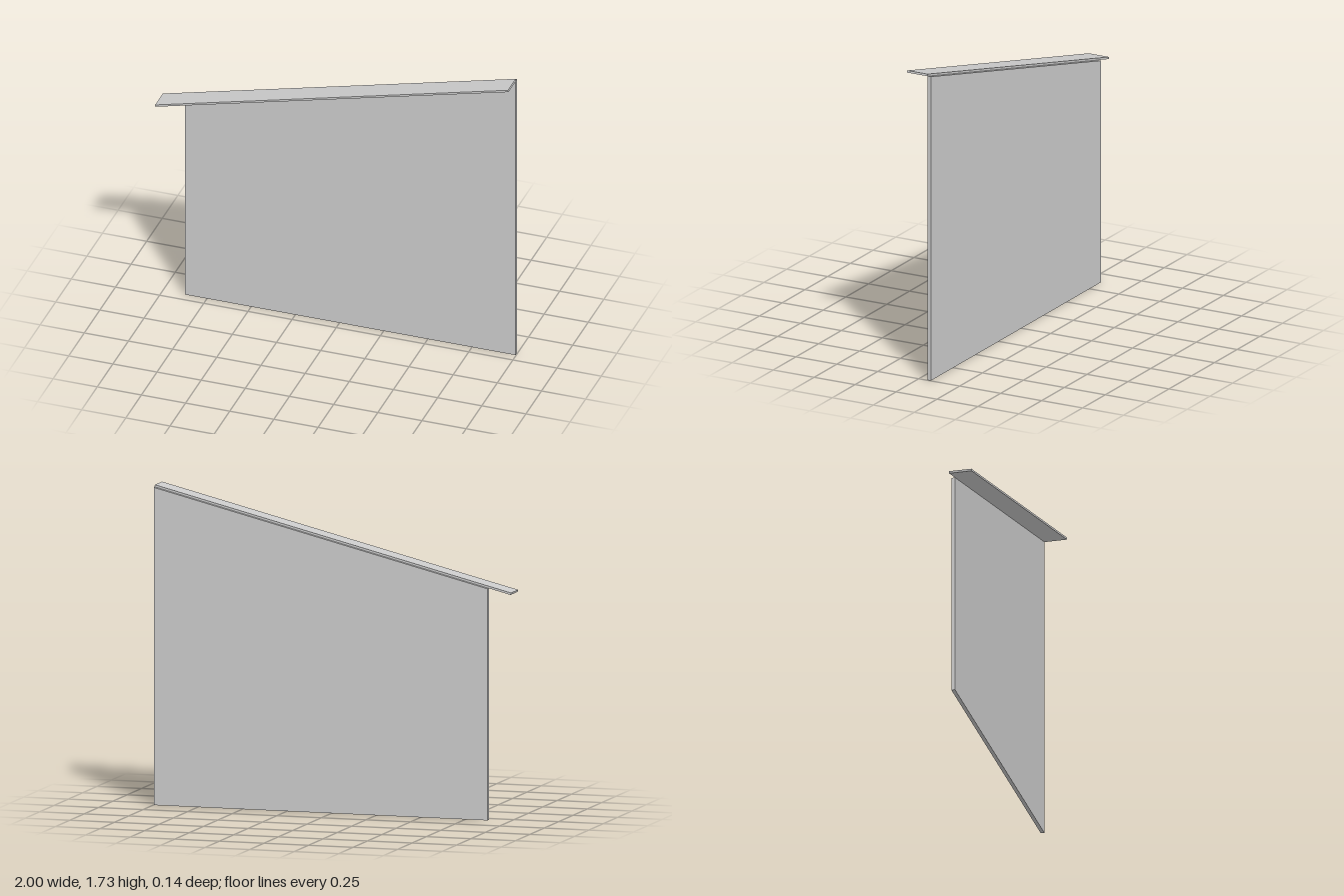
import * as THREE from 'three';

const SLOPE = 0.248;
const wallTop = (x) => 1.714 + SLOPE * (x - 1);

// Extrudes an outline in the XY plane between two z values
function slab(name, points, zBack, zFront, material) {
  const shape = new THREE.Shape(points.map(([x, y]) => new THREE.Vector2(x, y)));
  const geometry = new THREE.ExtrudeGeometry(shape, { depth: zFront - zBack, bevelEnabled: false });
  geometry.translate(0, 0, zBack);
  const mesh = new THREE.Mesh(geometry, material);
  mesh.name = name;
  return mesh;
}

export function createModel() {
  const group = new THREE.Group();
  group.name = 'slopedWallWithCanopy';
  const material = new THREE.MeshStandardMaterial({ color: 0xcccccc, flatShading: true });

  // Upright wall panel with a slanted top edge
  const left = -0.875, right = 0.997;
  group.add(slab('wallPanel',
    [[left, 0], [right, 0], [right, wallTop(right)], [left, wallTop(left)]],
    -0.072, -0.052, material));

  // Thin sloping canopy on the front of the wall, overhanging its low end
  const t = 0.011, lean = t * SLOPE;
  group.add(slab('canopy',
    [[-1 + lean, wallTop(-1 + lean)], [1, wallTop(1)], [1 - lean, wallTop(1) + t], [-1, wallTop(-1 + lean) + t]],
    -0.052, 0.072, material));

  return group;
}
